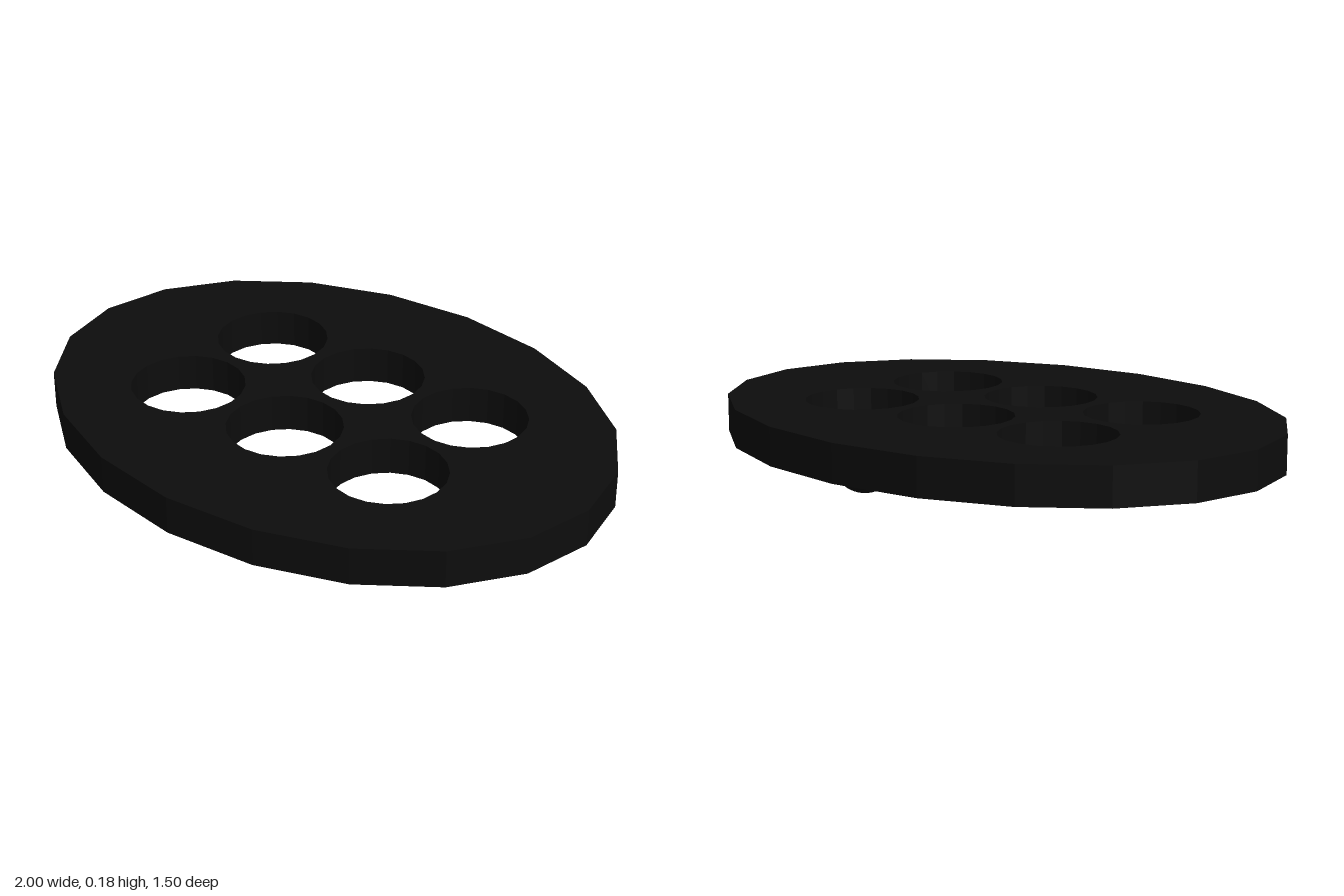
import * as THREE from 'three';

const SIDES = 20;
const BOTTOM = 0.052, THICKNESS = 0.125;

// Points of a many-sided ellipse
function ring(cx, cy, rx, ry) {
  return Array.from({ length: SIDES }, (_, i) => {
    const a = (i / SIDES) * Math.PI * 2;
    return new THREE.Vector2(cx + rx * Math.cos(a), cy + ry * Math.sin(a));
  });
}

export function createModel() {
  const model = new THREE.Group();
  model.name = 'cupHolderTray';
  const black = new THREE.MeshStandardMaterial({ color: 0x0d0d0d });
  black.name = 'black';

  // Oval plate pierced by two rows of three round holes
  const outline = new THREE.Shape(ring(0, 0, 1, 0.75));
  for (const x of [-0.42, -0.004, 0.412])
    for (const z of [-0.208, 0.208])
      outline.holes.push(new THREE.Path(ring(x, z, 0.187, 0.187)));
  const plateGeometry = new THREE.ExtrudeGeometry(outline, { depth: THICKNESS, bevelEnabled: false });
  plateGeometry.rotateX(-Math.PI / 2);
  const plate = new THREE.Mesh(plateGeometry, black);
  plate.name = 'plate';
  plate.position.y = BOTTOM;
  model.add(plate);

  // Four rounded feet, one near each end of both axes
  const footGeometry = new THREE.SphereGeometry(0.1, 32, 10, 0, Math.PI * 2, Math.PI * 0.65, Math.PI * 0.35);
  for (const [x, z] of [[-0.82, 0], [0.825, 0], [0.005, 0.607], [0.005, -0.607]]) {
    const foot = new THREE.Mesh(footGeometry, black);
    foot.name = 'foot';
    foot.position.set(x, 0.1, z);
    model.add(foot);
  }
  return model;
}
